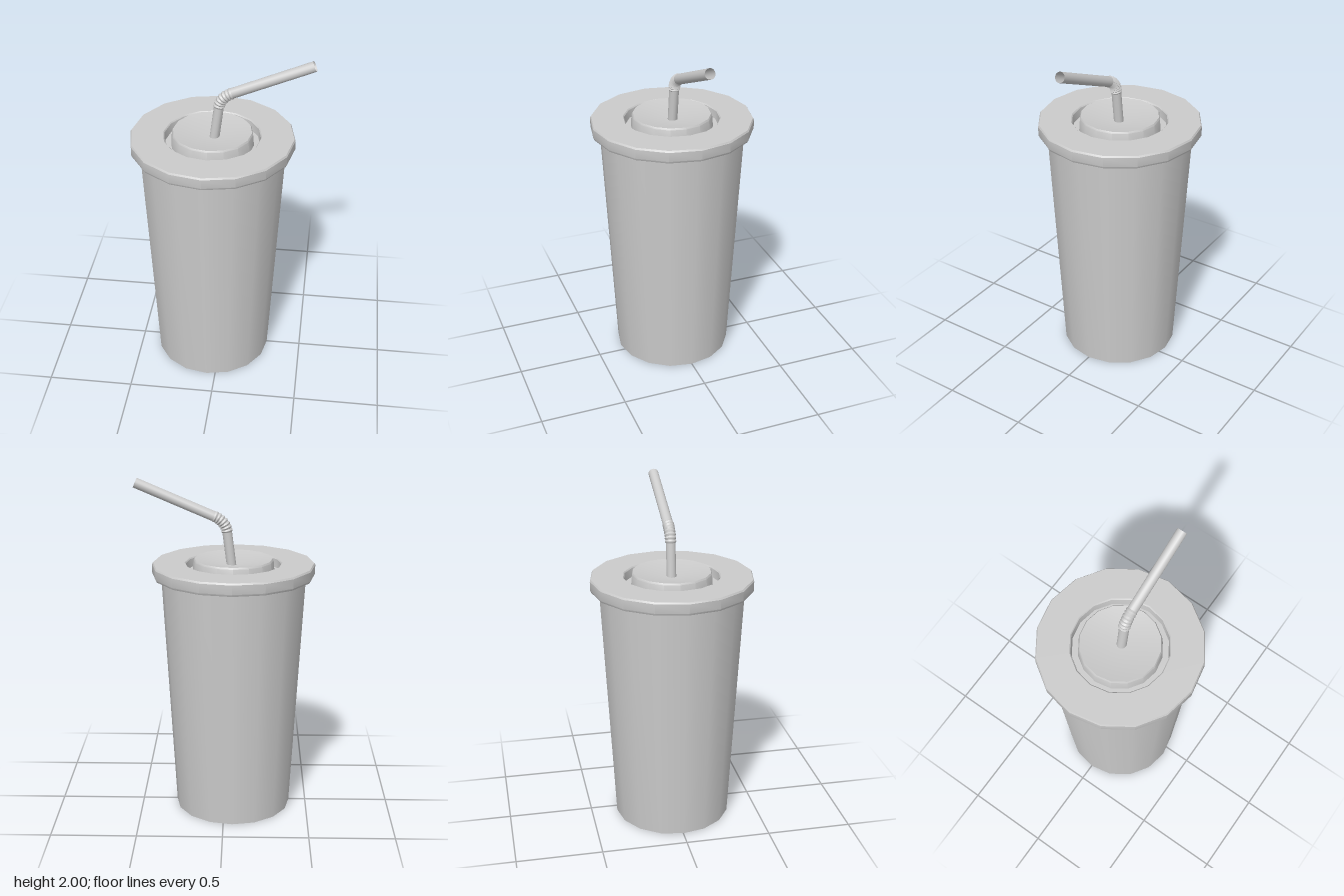
import * as THREE from 'three';
import { toCreasedNormals } from 'three/addons/utils/BufferGeometryUtils.js';

const SIDES = 16;
const CUP_X = -0.053;

function material() {
  return new THREE.MeshStandardMaterial({ color: 0xcccccc, side: THREE.DoubleSide });
}

// Turned part with crisp edges between profile segments
function turned(name, profile) {
  const points = profile.map(([r, y]) => new THREE.Vector2(r, y));
  const geometry = toCreasedNormals(new THREE.LatheGeometry(points, SIDES), 0.5);
  const mesh = new THREE.Mesh(geometry, material());
  mesh.name = name;
  mesh.position.x = CUP_X;
  return mesh;
}

// Open tube whose radius follows a rule along the path
function tube(name, path, rings, radiusAt) {
  const sides = 16;
  const geometry = new THREE.TubeGeometry(path, rings, 1, sides, false);
  const pos = geometry.attributes.position;
  const v = new THREE.Vector3();
  for (let i = 0; i <= rings; i++) {
    const centre = path.getPointAt(i / rings);
    for (let j = 0; j <= sides; j++) {
      const k = i * (sides + 1) + j;
      v.fromBufferAttribute(pos, k).sub(centre).multiplyScalar(radiusAt(i)).add(centre);
      pos.setXYZ(k, v.x, v.y, v.z);
    }
  }
  const mesh = new THREE.Mesh(toCreasedNormals(geometry, 0.6), material());
  mesh.name = name;
  return mesh;
}

export function createModel() {
  const model = new THREE.Group();
  model.name = 'drinkCup';

  // Tapered cup with a recessed base
  model.add(turned('cup', [
    [0, 0.04], [0.305, 0.04], [0.32, 0], [0.345, 0], [0.422, 1.44], [0.424, 1.49],
  ]));

  // Hollow lid: overhanging rim, groove, raised and slightly dished centre
  model.add(turned('lid', [
    [0.424, 1.49], [0.448, 1.485], [0.452, 1.435], [0.467, 1.435], [0.473, 1.447],
    [0.473, 1.5], [0.467, 1.51], [0.283, 1.51], [0.277, 1.503], [0.272, 1.455],
    [0.238, 1.455], [0.232, 1.525], [0.226, 1.535], [0, 1.495],
  ]));

  // Bendy straw: leaning stem, ribbed elbow, open tip
  const foot = new THREE.Vector3(-0.047, 1.45, 0);
  const elbowStart = new THREE.Vector3(-0.016, 1.69, 0);
  const elbowCorner = new THREE.Vector3(-0.007, 1.753, 0);
  const elbowEnd = new THREE.Vector3(0.06, 1.781, 0);
  const end = new THREE.Vector3(0.508, 1.972, 0);

  const straw = new THREE.Group();
  straw.name = 'straw';
  straw.add(tube('strawStem', new THREE.LineCurve3(foot, elbowStart), 1, () => 0.028));
  straw.add(tube('strawElbow',
    new THREE.QuadraticBezierCurve3(elbowStart, elbowCorner, elbowEnd), 14,
    (i) => (i % 2 ? 0.034 : 0.029)));
  straw.add(tube('strawTip', new THREE.LineCurve3(elbowEnd, end), 1, () => 0.03));
  model.add(straw);

  return model;
}
